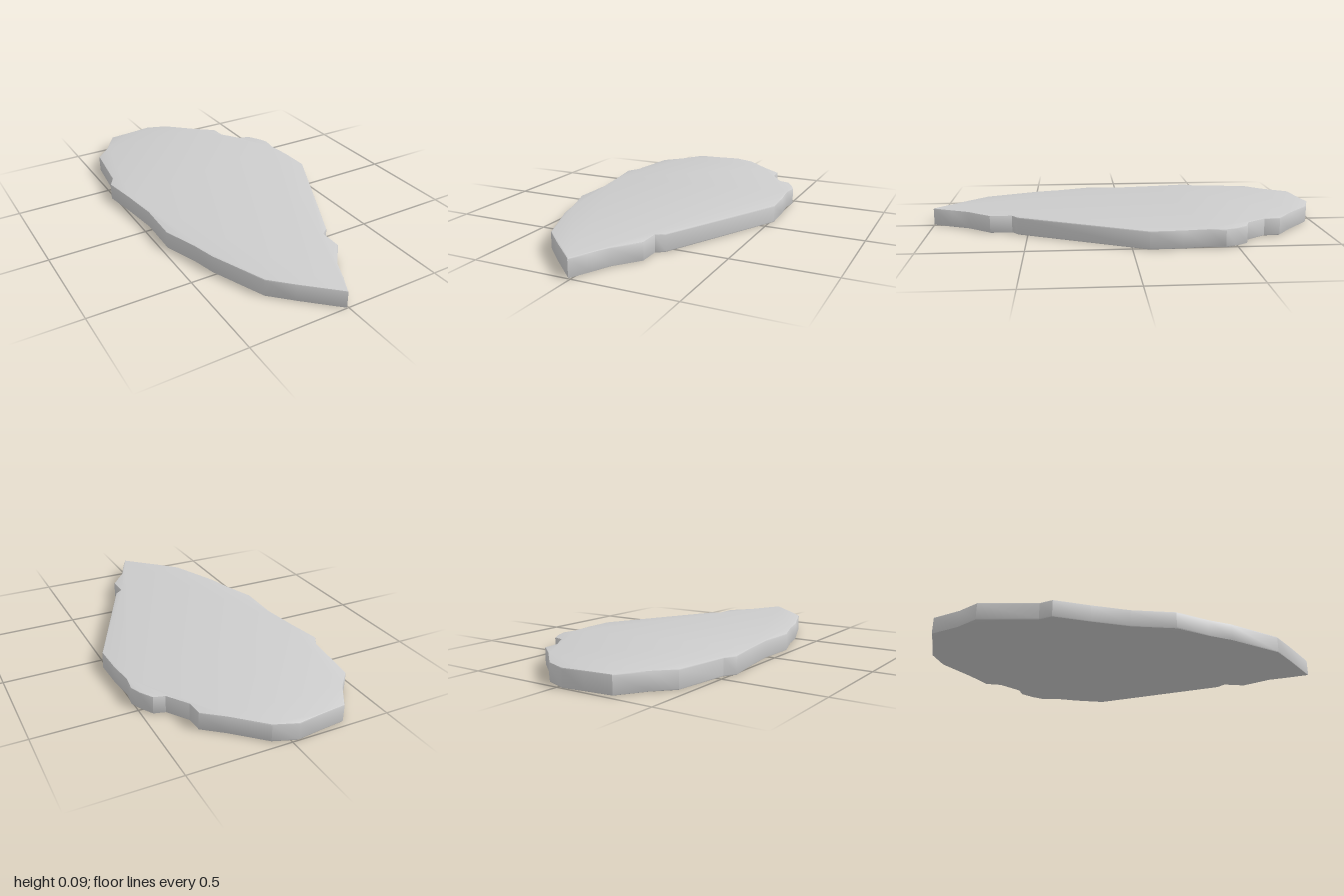
import * as THREE from 'three';
import { toCreasedNormals } from 'three/addons/utils/BufferGeometryUtils.js';

// Outline of the slab seen from above, as [x, z]
const OUTLINE = [
  [-0.03, -1], [0.08, -0.96], [0.22, -0.83], [0.32, -0.75], [0.325, -0.67],
  [0.395, -0.57], [0.45, -0.555], [0.49, -0.49], [0.51, -0.44], [0.50, -0.36],
  [0.515, -0.235], [0.52, -0.08], [0.215, 0.55], [0.175, 0.58], [0.175, 0.69],
  [0.08, 0.81], [0.04, 0.90], [-0.01, 1], [-0.17, 0.85], [-0.27, 0.75],
  [-0.38, 0.48], [-0.41, 0.36], [-0.47, 0.19], [-0.465, -0.03], [-0.49, -0.22],
  [-0.52, -0.40], [-0.485, -0.46], [-0.45, -0.75], [-0.365, -0.84],
  [-0.28, -0.97], [-0.14, -0.985],
];
const HEIGHT = 0.09;
const BEVEL = 0.006;

export function createModel() {
  const stone = new THREE.MeshStandardMaterial({ color: 0xcccccc });
  stone.name = 'pale grey stone';

  // Flat slab with slightly eased top and bottom edges
  const shape = new THREE.Shape(OUTLINE.map(([x, z]) => new THREE.Vector2(x, z)));
  const geometry = new THREE.ExtrudeGeometry(shape, {
    depth: HEIGHT - 2 * BEVEL,
    bevelEnabled: true,
    bevelThickness: BEVEL,
    bevelSize: BEVEL,
    bevelOffset: -BEVEL,
    bevelSegments: 2,
  });
  geometry.rotateX(Math.PI / 2); // outline y becomes z, extrusion runs downwards
  geometry.translate(0, HEIGHT - BEVEL, 0);

  const slab = new THREE.Mesh(toCreasedNormals(geometry, 0.5), stone);
  slab.name = 'stoneSlab';

  const model = new THREE.Group();
  model.name = 'steppingStone';
  model.add(slab);
  return model;
}
